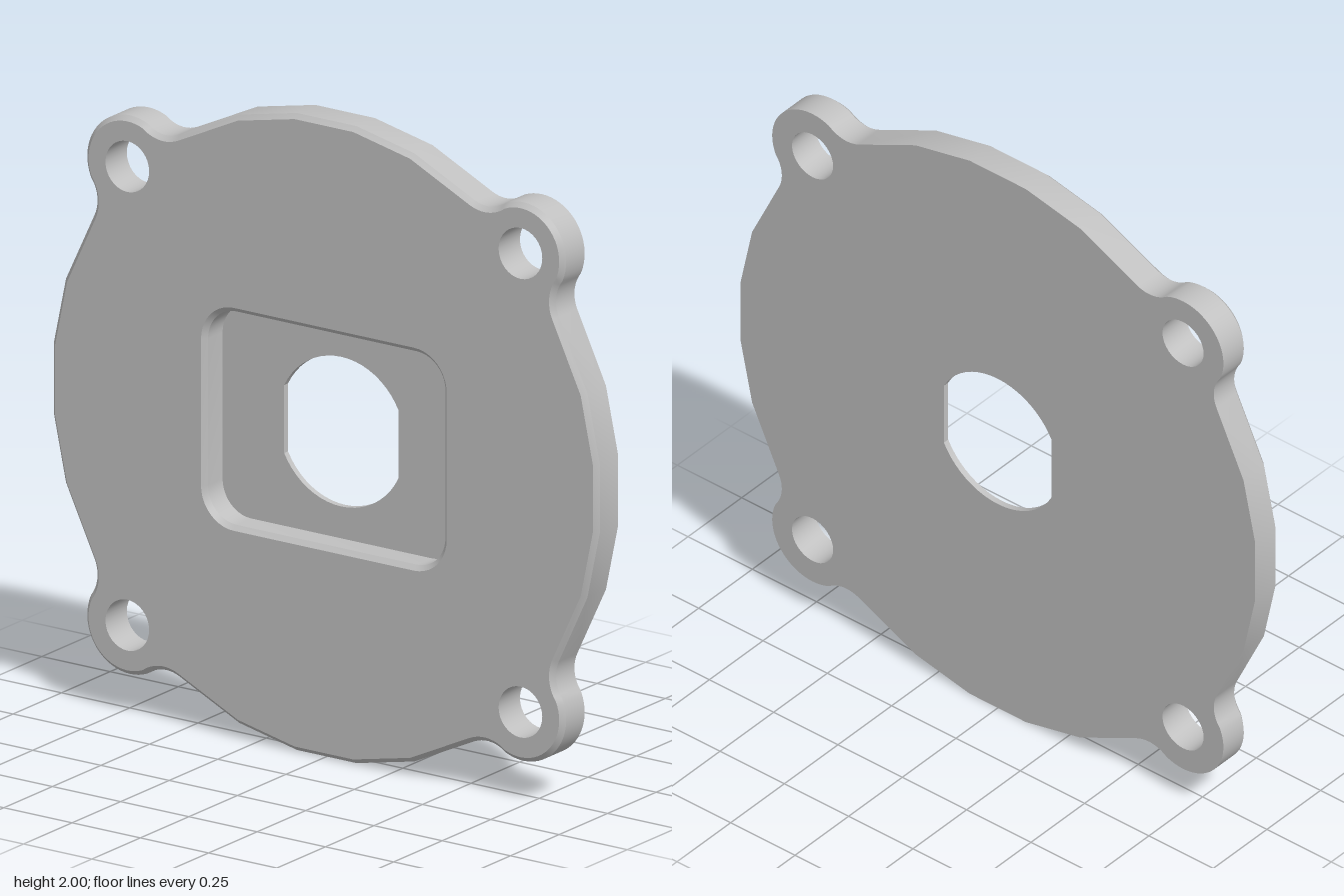
import * as THREE from 'three';
import { mergeGeometries, toCreasedNormals } from 'three/addons/utils/BufferGeometryUtils.js';

const V = (x, y) => new THREE.Vector2(x, y);

// Points along an arc, angles in degrees
function arc(cx, cy, r, from, to, steps) {
  return Array.from({ length: steps + 1 }, (_, i) => {
    const a = THREE.MathUtils.degToRad(from + (to - from) * i / steps);
    return V(cx + r * Math.cos(a), cy + r * Math.sin(a));
  });
}

// Plate outline: a faceted disc with four filleted ears (counter-clockwise)
function plateOutline() {
  const half = [V(0.109, 1), V(0.32, 0.955), ...arc(0.5875, 0.9495, 0.11, 245, 300, 8),
    ...arc(0.72, 0.72, 0.157, 120, 45, 12).slice(1)];
  const mirrored = half.slice(0, -1).reverse().map(p => V(p.y, p.x));
  const quadrant = [...half, ...mirrored].reverse();
  const points = [];
  for (let k = 0; k < 4; k++) {
    for (const p of quadrant) points.push(p.clone().rotateAround(V(0, 0), k * Math.PI / 2));
  }
  return points;
}

// Moves a counter-clockwise contour inwards by d
function inset(points, d) {
  const n = points.length;
  return points.map((p, i) => {
    const a = p.clone().sub(points[(i + n - 1) % n]).normalize();
    const b = points[(i + 1) % n].clone().sub(p).normalize();
    const m = V(-a.y - b.y, a.x + b.x).normalize();
    return p.clone().addScaledVector(m, d / (m.x * -a.y + m.y * a.x));
  });
}

function roundedRect(w, h, r) {
  return [...arc(w - r, h - r, r, 0, 90, 10), ...arc(r - w, h - r, r, 90, 180, 10),
    ...arc(r - w, r - h, r, 180, 270, 10), ...arc(w - r, r - h, r, 270, 360, 10)];
}

// Wall strip between contour a at depth za and contour b at depth zb
function wall(a, za, b, zb, isHole = false) {
  const pos = [];
  for (let i = 0; i < a.length; i++) {
    const j = (i + 1) % a.length;
    const q = [[a[i], za], [a[j], za], [b[j], zb], [b[i], zb]];
    const order = isHole ? [0, 2, 1, 0, 3, 2] : [0, 1, 2, 0, 2, 3];
    for (const k of order) pos.push(q[k][0].x, q[k][0].y, q[k][1]);
  }
  const g = new THREE.BufferGeometry();
  g.setAttribute('position', new THREE.Float32BufferAttribute(pos, 3));
  return g;
}

// Flat face with holes at depth z
function face(outer, holes, z, flip = false) {
  const shape = new THREE.Shape(outer);
  shape.holes = holes.map(h => new THREE.Path(h));
  const g = new THREE.ShapeGeometry(shape).toNonIndexed();
  g.deleteAttribute('normal');
  g.deleteAttribute('uv');
  const p = g.attributes.position;
  for (let i = 0; flip && i < p.count; i += 3) {
    const x = p.getX(i), y = p.getY(i);
    p.setXY(i, p.getX(i + 1), p.getY(i + 1));
    p.setXY(i + 1, x, y);
  }
  return g.translate(0, 0, z);
}

export function createModel() {
  const group = new THREE.Group();
  group.name = 'mountingPlate';
  const grey = new THREE.MeshStandardMaterial({ color: 0xc0c0c0 });
  grey.name = 'grey metal';

  const back = -0.055, front = 0.055, floor = 0.035, chamfer = 0.015;
  const edge = back + chamfer;
  const outline = plateOutline();
  const outlineIn = inset(outline, chamfer);
  const rim = roundedRect(0.45, 0.35, 0.12);
  const pocket = roundedRect(0.45 - chamfer, 0.35 - chamfer, 0.12 - chamfer);
  const bore = [...arc(0, 0, 0.235, 27, 153, 20), ...arc(0, 0, 0.235, 207, 333, 20)];
  const bolts = [[1, 1], [-1, 1], [-1, -1], [1, -1]].map(
    ([x, y]) => arc(0.72 * x, 0.72 * y, 0.08, 0, 360, 32).slice(0, -1));

  const add = (name, parts) => {
    const g = toCreasedNormals(mergeGeometries(parts), 0.36);
    g.rotateY(Math.PI / 2).translate(0, 1, 0);
    const mesh = new THREE.Mesh(g, grey);
    mesh.name = name;
    group.add(mesh);
  };

  // Flat faces
  add('plainFace', [face(outline, [bore, ...bolts], front)]);
  add('pocketFace', [face(outlineIn, [rim, ...bolts], back, true)]);
  // Outer rim with a chamfer on the pocket side
  add('outerEdge', [wall(outline, edge, outline, front), wall(outlineIn, back, outline, edge)]);
  // Recessed pocket with a chamfered rim
  add('pocket', [wall(rim, back, pocket, edge, true), wall(pocket, edge, pocket, floor, true),
    face(pocket, [bore], floor, true)]);
  // Double-flat centre hole and bolt holes
  add('centreHole', [wall(bore, floor, bore, front, true)]);
  add('boltHoles', bolts.map(b => wall(b, back, b, front, true)));
  return group;
}
